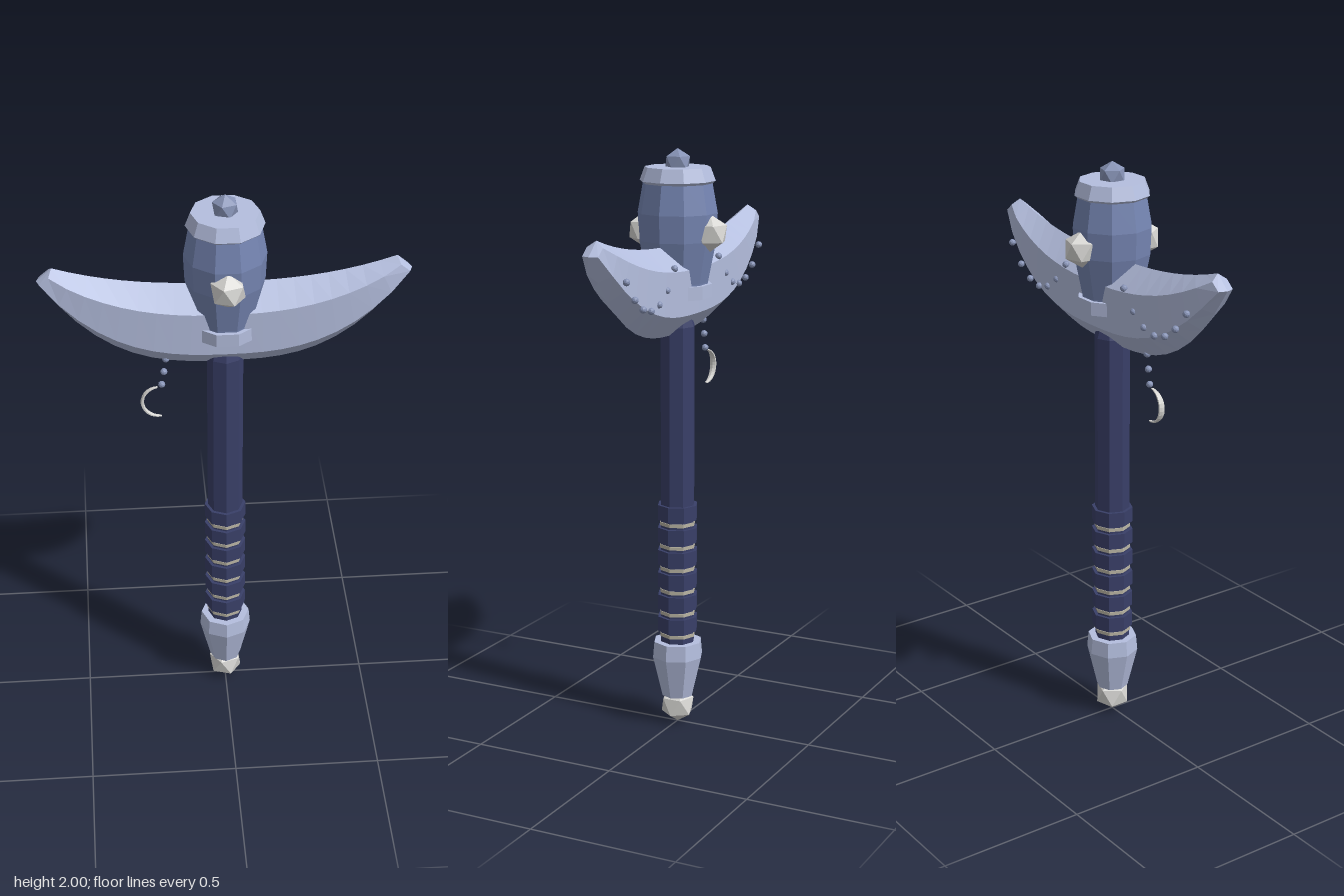
import * as THREE from 'three';

const mat = (name, color) => {
  const m = new THREE.MeshStandardMaterial({ color, flatShading: true });
  m.name = name;
  return m;
};

export function createModel() {
  const root = new THREE.Group();
  root.name = 'crescentHammer';
  const steel = mat('paleSteel', 0xb4bede);
  const barrel = mat('blueSteel', 0x7585b2);
  const navy = mat('navyWrap', 0x393f68);
  const bone = mat('bone', 0xd9d8d5);
  const cord = mat('cord', 0xb9b4a4);
  const bead = mat('beadSteel', 0x8793b6);

  const add = (name, geo, material, x = 0, y = 0, z = 0) => {
    const m = new THREE.Mesh(geo, material);
    m.name = name;
    m.position.set(x, y, z);
    root.add(m);
    return m;
  };
  // Faceted turned part from [radius, height] points, with a corner on the x axis
  const turned = (name, pts, sides, material) => add(name,
    new THREE.LatheGeometry(pts.map(p => new THREE.Vector2(...p)), sides)
      .rotateY(Math.PI / 2), material);
  // Straight closed band
  const band = (name, r, y, h, sides, material) => turned(name,
    [[0, y - h / 2], [r, y - h / 2], [r, y + h / 2], [0, y + h / 2]], sides, material);
  // Icosahedron standing on a corner
  const gem = (name, r, material, y, z = 0) => add(name,
    new THREE.IcosahedronGeometry(r, 0).rotateZ(Math.atan(2 / (1 + Math.sqrt(5)))),
    material, 0, y, z);

  // Pommel
  gem('pommelGem', 0.063, bone, 0.063);
  turned('pommel', [[0, 0.1], [0.055, 0.1], [0.09, 0.245], [0.085, 0.3], [0, 0.3]], 8, steel);

  // Handle and wrapped grip
  turned('handle', [[0, 0.28], [0.06, 0.28], [0.06, 1.41], [0.05, 1.44], [0, 1.44]], 8, navy);
  for (let i = 0; i < 6; i++) {
    const y = 0.366 + i * 0.08;
    band('gripBand', 0.071, y, 0.052, 8, navy);
    band('gripCord', 0.063, y - 0.04, 0.012, 8, cord);
  }

  // Crescent blade
  add('crescentBlade', bladeGeometry(), steel);

  // Barrel head with collar, cap, finial and side studs
  turned('barrelHead', [[0, 1.51], [0.097, 1.51], [0.102, 1.56], [0.13, 1.7],
    [0.134, 1.79], [0.115, 1.895], [0, 1.895]], 10, barrel);
  turned('barrelCap', [[0, 1.885], [0.115, 1.885], [0.127, 1.895], [0.11, 1.94], [0, 1.94]], 10, steel);
  band('headCollar', 0.116, 1.532, 0.045, 10, steel);
  gem('finial', 0.046, bead, 1.954);
  for (const s of [1, -1]) gem('sideStud', 0.062, bone, 1.727, s * 0.12);

  // Strings of beads hanging along the back of the blade
  const beadGeo = new THREE.IcosahedronGeometry(0.012, 1);
  for (const s of [1, -1]) {
    for (let i = -3; i <= 3; i++) {
      const dx = i * 0.0545;
      add('bead', beadGeo, bead, s * (0.3275 + dx), 1.513 + 4.3 * dx * dx, -0.072);
    }
  }

  // Dangling beads and a flat hook that thins toward its ends
  [[-0.195, 1.4], [-0.202, 1.35], [-0.21, 1.3]].forEach(([x, y]) => add('hangingBead', beadGeo, bead, x, y));
  const hook = new THREE.TorusGeometry(0.058, 0.006, 6, 14, Math.PI);
  const p = hook.attributes.position;
  for (let i = 0; i < p.count; i++) {
    const x = p.getX(i), y = p.getY(i), r = Math.hypot(x, y);
    const k = 0.4 + 0.6 * Math.max(0, y / r);
    const newR = 0.058 + (r - 0.058) * k;
    p.setXYZ(i, x * newR / r, y * newR / r, p.getZ(i) * k * 2);
  }
  add('hook', hook.rotateZ(Math.PI / 2 + 0.1), bone, -0.218, 1.232, 0);

  return root;
}

// Crescent lofted through six-sided sections that follow four curved rails
function bladeGeometry() {
  const n = 20, pos = [], idx = [];
  for (let i = 0; i <= n; i++) {
    const s = -1 + 2 * i / n, a = Math.abs(s);
    const w = 0.02 + 0.06 * Math.sqrt(1 - s * s * 0.98);
    const up = [0.56 * s, 1.61 + 0.13 * a ** 2.5];
    const low = [0.59 * s, 1.46 + 0.255 * a ** 2.8];
    pos.push(
      0.55 * s, 1.685 + 0.075 * a ** 2.5, 0,
      ...up, w, ...low, w * 0.98,
      0.6 * s, 1.385 + 0.33 * a ** 2.9, 0,
      ...low, -w * 0.98, ...up, -w);
  }
  for (let i = 0; i < n; i++) {
    for (let j = 0; j < 6; j++) {
      const a = i * 6 + j, b = i * 6 + (j + 1) % 6;
      idx.push(a, b, b + 6, a, b + 6, a + 6);
    }
  }
  for (let j = 1; j < 5; j++) {
    idx.push(0, j + 1, j, n * 6, n * 6 + j, n * 6 + j + 1);
  }
  const g = new THREE.BufferGeometry();
  g.setAttribute('position', new THREE.Float32BufferAttribute(pos, 3));
  g.setIndex(idx);
  g.computeVertexNormals();
  return g;
}
